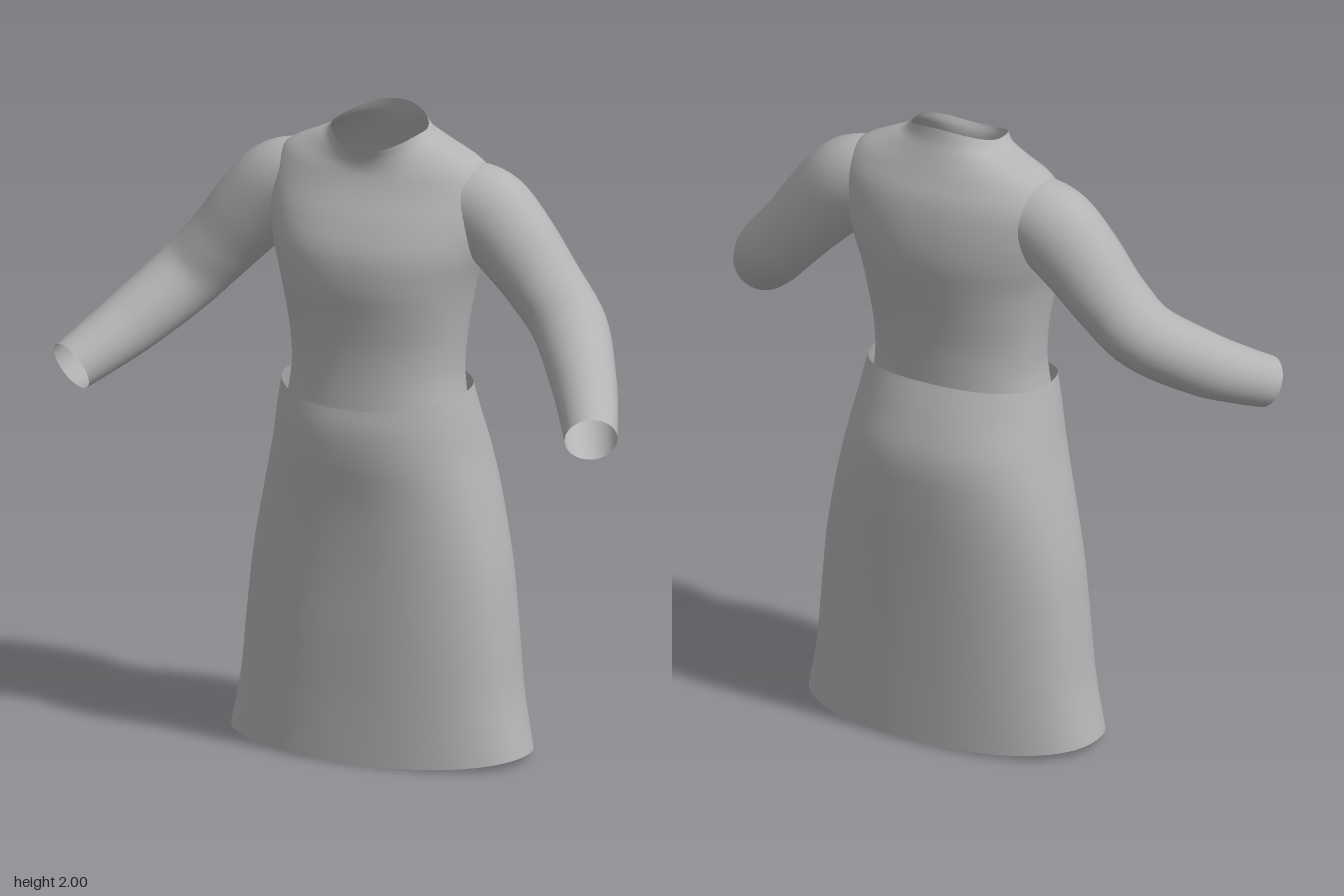
import * as THREE from 'three';

const cloth = new THREE.MeshStandardMaterial({ color: 0xb4b4b4, side: THREE.DoubleSide });
cloth.name = 'grey cloth';

// Smooth interpolation through rows of key values, t in 0..1
function sample(keys, t) {
  const f = t * (keys.length - 1);
  const i = Math.min(Math.floor(f), keys.length - 2);
  const u = f - i;
  const at = (k) => keys[Math.max(0, Math.min(keys.length - 1, k))];
  return keys[i].map((b, c) => {
    const a = at(i - 1)[c], d = at(i + 1)[c], e = at(i + 2)[c];
    const m0 = (d - a) / 2, m1 = (e - b) / 2;
    return b + u * (m0 + u * (3 * (d - b) - 2 * m0 - m1 + u * (2 * (b - d) + m0 + m1)));
  });
}

// Open tube of closed rings; point(t, angle) returns a Vector3
function loft(name, rows, segs, point, flip = false) {
  const pos = [], index = [];
  for (let j = 0; j <= rows; j++) {
    for (let i = 0; i < segs; i++) pos.push(...point(j / rows, (i / segs) * Math.PI * 2).toArray());
  }
  for (let j = 0; j < rows; j++) {
    for (let i = 0; i < segs; i++) {
      const a = j * segs + i, b = j * segs + (i + 1) % segs, c = a + segs, d = b + segs;
      if (flip) index.push(a, b, c, b, d, c);
      else index.push(a, c, b, b, c, d);
    }
  }
  const g = new THREE.BufferGeometry();
  g.setAttribute('position', new THREE.Float32BufferAttribute(pos, 3));
  g.setIndex(index);
  g.computeVertexNormals();
  const mesh = new THREE.Mesh(g, cloth);
  mesh.name = name;
  return mesh;
}

// Rows: y at front, y at side, y at back, half width, z front, z back, roundness exponent
function body(name, keys, rows) {
  return loft(name, rows, 72, (t, a) => {
    const [yF, yS, yB, w, zF, zB, n] = sample(keys, t);
    const c = Math.cos(a), s = Math.sin(a);
    const px = Math.sign(c) * Math.abs(c) ** (2 / n);
    const pz = Math.sign(s) * Math.abs(s) ** (2 / n);
    const y = yS + ((s > 0 ? yF : yB) - yS) * s * s;
    return new THREE.Vector3(px * w, y, (zF + zB) / 2 + pz * (zF - zB) / 2);
  });
}

const skirtKeys = [
  [0.005, 0.03, 0.01, 0.485, 0.175, -0.31, 2.3],
  [0.2, 0.2, 0.2, 0.45, 0.17, -0.312, 2.4],
  [0.4, 0.4, 0.4, 0.43, 0.17, -0.316, 2.4],
  [0.6, 0.6, 0.6, 0.407, 0.17, -0.322, 2.4],
  [0.8, 0.8, 0.8, 0.368, 0.178, -0.33, 2.4],
  [0.95, 0.95, 0.95, 0.335, 0.195, -0.328, 2.3],
  [1.05, 1.06, 1.08, 0.316, 0.197, -0.29, 2.2],
  [1.12, 1.16, 1.18, 0.298, 0.185, -0.25, 2.2],
];

const torsoKeys = [
  [1.08, 1.1, 1.12, 0.28, 0.175, -0.245, 2.2],
  [1.2, 1.2, 1.2, 0.268, 0.165, -0.247, 2.2],
  [1.3, 1.3, 1.3, 0.273, 0.165, -0.252, 2.2],
  [1.4, 1.4, 1.4, 0.286, 0.175, -0.264, 2.3],
  [1.5, 1.5, 1.5, 0.306, 0.188, -0.28, 2.3],
  [1.6, 1.6, 1.6, 0.335, 0.182, -0.294, 2.3],
  [1.69, 1.7, 1.7, 0.355, 0.145, -0.29, 2.3],
  [1.77, 1.79, 1.79, 0.36, 0.1, -0.272, 2.2],
  [1.82, 1.86, 1.86, 0.32, 0.077, -0.24, 2.1],
  [1.85, 1.905, 1.92, 0.235, 0.07, -0.212, 2],
  [1.88, 1.93, 1.96, 0.175, 0.073, -0.195, 2],
  [1.905, 1.955, 2.0, 0.15, 0.085, -0.185, 2],
];

// Rows: centre x, y, z, horizontal radius, upright radius
const sleeveKeys = [
  [0.27, 1.745, -0.09, 0.12, 0.125],
  [0.35, 1.71, -0.09, 0.126, 0.138],
  [0.44, 1.625, -0.085, 0.123, 0.13],
  [0.54, 1.51, -0.078, 0.118, 0.115],
  [0.64, 1.4, -0.045, 0.115, 0.108],
  [0.75, 1.285, 0.09, 0.1, 0.1],
  [0.815, 1.222, 0.19, 0.09, 0.09],
  [0.87, 1.17, 0.285, 0.08, 0.08],
];

function sleeve(name, side) {
  const centre = (t) => new THREE.Vector3(...sample(sleeveKeys, t));
  const up = new THREE.Vector3(0, 1, 0);
  return loft(name, 42, 36, (t, a) => {
    const dir = centre(Math.min(1, t + 0.02)).sub(centre(Math.max(0, t - 0.02))).normalize();
    const across = new THREE.Vector3().crossVectors(dir, up).normalize();
    const over = new THREE.Vector3().crossVectors(across, dir);
    const [, , , rh, rv] = sample(sleeveKeys, t);
    const p = centre(t).addScaledVector(across, rh * Math.cos(a)).addScaledVector(over, rv * Math.sin(a));
    p.x *= side;
    return p;
  }, side < 0);
}

export function createModel() {
  const group = new THREE.Group();
  group.name = 'dress';
  group.add(
    body('skirt', skirtKeys, 42),
    body('bodice', torsoKeys, 55),
    sleeve('leftSleeve', 1),
    sleeve('rightSleeve', -1),
  );
  return group;
}
